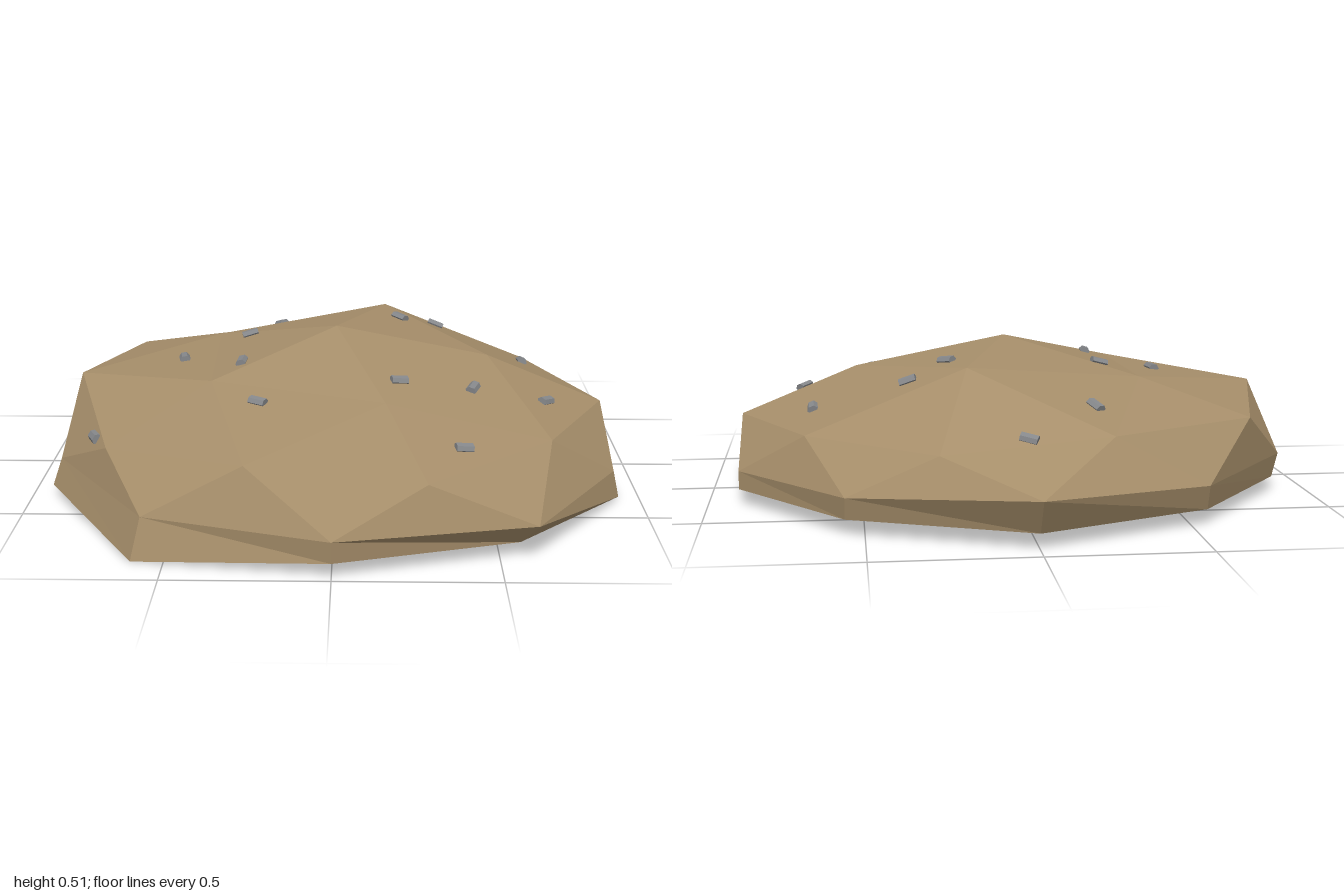
import * as THREE from 'three';

// Cross-section rings of the mound, each running from +x round towards +z
const POLE = [0, 0.51, 0.05];
const CROWN = [[0.51, 0.41, 0.05], [0.16, 0.385, 0.52], [-0.4, 0.4, 0.34], [-0.42, 0.4, -0.25], [0.17, 0.465, -0.44]];
const SHOULDER = [
  [0.9, 0.25, 0.05], [0.68, 0.27, 0.53], [0.28, 0.26, 0.9], [-0.26, 0.3, 0.86], [-0.71, 0.25, 0.57],
  [-0.87, 0.34, 0.05], [-0.73, 0.3, -0.5], [-0.25, 0.295, -0.75], [0.28, 0.255, -0.79], [0.68, 0.26, -0.45],
];
const RIM = [
  [0.91, 0.1, 0.34], [0.61, 0.12, 0.87], [0, 0.12, 1], [-0.57, 0.13, 0.84], [-0.9, 0.13, 0.33],
  [-0.9, 0.13, -0.25], [-0.55, 0.13, -0.72], [0, 0.16, -1], [0.56, 0.12, -0.72], [0.9, 0.11, -0.25],
];
const FOOT = [
  [0.93, 0.01, 0.34], [0.56, 0.05, 0.82], [0, 0.05, 0.99], [-0.6, 0, 0.87], [-0.93, 0.04, 0.34],
  [-0.88, 0.05, -0.25], [-0.55, 0.05, -0.69], [0, 0.05, -0.93], [0.56, 0.05, -0.7], [0.9, 0.05, -0.25],
];

function moundGeometry() {
  const pos = [];
  const tri = (a, b, c) => pos.push(...a, ...b, ...c);
  const at = (ring, i) => ring[(i + ring.length) % ring.length];

  // domed top: pole fan, then crown to shoulder
  for (let i = 0; i < 5; i++) {
    const c = CROWN[i], next = at(CROWN, i + 1);
    const before = at(SHOULDER, 2 * i - 1), mid = SHOULDER[2 * i], after = SHOULDER[2 * i + 1];
    tri(POLE, next, c);
    tri(c, next, after);
    tri(c, after, mid);
    tri(c, mid, before);
  }
  // sloping side, low wall and underside
  for (let k = 0; k < 10; k++) {
    const s = SHOULDER[k], s2 = at(SHOULDER, k + 1);
    const r = RIM[k], r2 = at(RIM, k + 1);
    const f = FOOT[k], f2 = at(FOOT, k + 1);
    tri(s, s2, r);
    tri(s2, r2, r);
    tri(r, r2, f);
    tri(r2, f2, f);
    tri([0, 0.035, 0.02], f, f2);
  }
  const geo = new THREE.BufferGeometry();
  geo.setAttribute('position', new THREE.Float32BufferAttribute(pos, 3));
  geo.computeVertexNormals();
  return geo;
}

// Pebbles: x, z and heading in degrees, seen from above
const PEBBLES = [
  [0.01, -0.745, -25], [-0.22, -0.56, -60], [0.35, -0.345, -8], [0.22, -0.25, -45], [0.655, -0.22, 90],
  [-0.305, -0.125, 10], [-0.52, 0.035, -80], [-0.31, 0.21, 85], [0.69, 0.25, 50], [0.445, 0.31, 70],
  [0.205, 0.36, 18], [-0.24, 0.49, -28], [-0.76, 0.46, -65], [0.395, 0.68, 15],
];

export function createModel() {
  const model = new THREE.Group();

  const earth = new THREE.MeshStandardMaterial({ color: 0xa68e6a, flatShading: true });
  const mound = new THREE.Mesh(moundGeometry(), earth);
  mound.name = 'mound';
  model.add(mound);

  // small six-sided pebbles lying flat on the slope
  const stone = new THREE.MeshStandardMaterial({ color: 0x85878a, flatShading: true });
  const pebbleGeo = new THREE.CylinderGeometry(0.018, 0.018, 0.055, 6).rotateZ(Math.PI / 2).scale(1, 0.75, 1);
  const pebbles = new THREE.Group();
  pebbles.name = 'pebbles';
  const down = new THREE.Vector3(0, -1, 0), up = new THREE.Vector3(0, 1, 0);
  for (const [x, z, heading] of PEBBLES) {
    const hit = new THREE.Raycaster(new THREE.Vector3(x, 2, z), down).intersectObject(mound)[0];
    if (!hit) continue;
    const pebble = new THREE.Mesh(pebbleGeo, stone);
    pebble.name = 'pebble';
    pebble.position.copy(hit.point).addScaledVector(hit.face.normal, 0.005);
    pebble.quaternion.setFromUnitVectors(up, hit.face.normal);
    pebble.rotateY(THREE.MathUtils.degToRad(heading));
    pebbles.add(pebble);
  }
  model.add(pebbles);
  return model;
}
